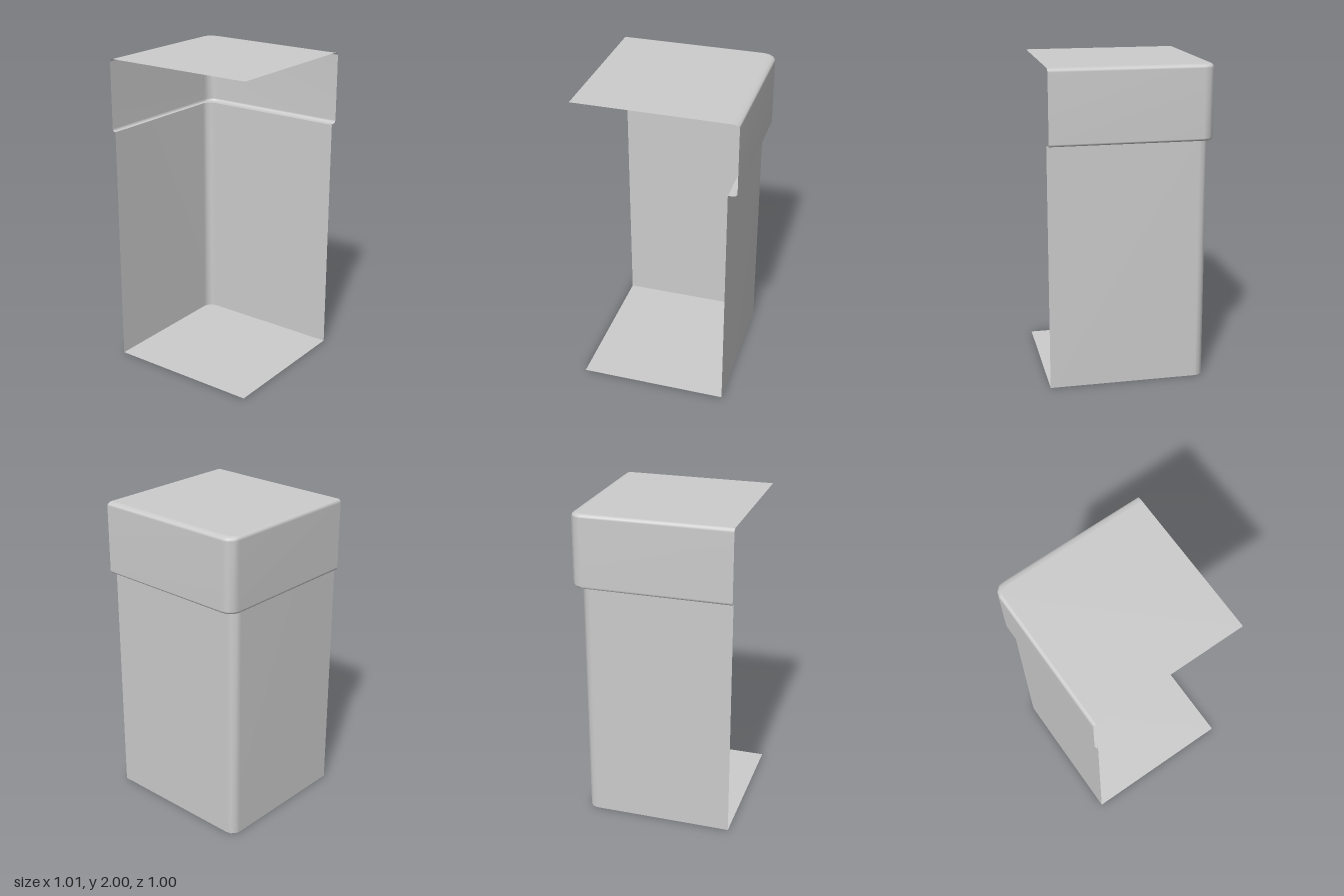
import * as THREE from 'three';

const material = new THREE.MeshStandardMaterial({ color: 0xcccccc, side: THREE.DoubleSide });
const FRONT = 0.5;

// L-shaped outline seen from above: left wall, rounded corner, back wall.
function outline({ left, right, back, rx, rz }) {
  const points = [new THREE.Vector2(left, FRONT)];
  for (let i = 0; i <= 3; i++) {
    const a = (i / 3) * Math.PI / 2;
    points.push(new THREE.Vector2(left + rx * (1 - Math.cos(a)), back + rz * (1 - Math.sin(a))));
  }
  points.push(new THREE.Vector2(right, back));
  return points;
}

// Smooth wall skinned through outlines stacked from bottom to top.
function wall(name, sections) {
  const positions = [], index = [];
  sections.forEach((s) => outline(s).forEach((p) => positions.push(p.x, s.y, p.y)));
  const n = outline(sections[0]).length;
  for (let row = 0; row < sections.length - 1; row++) {
    for (let i = 0; i < n - 1; i++) {
      const a = row * n + i, b = a + 1, c = a + n, d = c + 1;
      index.push(a, c, b, b, c, d);
    }
  }
  const geometry = new THREE.BufferGeometry();
  geometry.setAttribute('position', new THREE.Float32BufferAttribute(positions, 3));
  geometry.setIndex(index);
  geometry.computeVertexNormals();
  const mesh = new THREE.Mesh(geometry, material);
  mesh.name = name;
  return mesh;
}

// Flat panel filling an outline out to the open front corner.
function panel(name, section) {
  const points = outline(section).map((p) => new THREE.Vector2(p.x, -p.y));
  points.push(new THREE.Vector2(section.right, -FRONT));
  const geometry = new THREE.ShapeGeometry(new THREE.Shape(points));
  geometry.rotateX(-Math.PI / 2);
  const mesh = new THREE.Mesh(geometry, material);
  mesh.name = name;
  mesh.position.y = section.y;
  return mesh;
}

export function createModel() {
  const group = new THREE.Group();
  group.name = 'openCornerBox';

  // Lower body
  const body = (y) => ({ left: -0.485, right: 0.507, back: -0.445, rx: 0.06, rz: 0.06, y });
  group.add(panel('floor', body(0)), wall('bodyWall', [body(0), body(1.54)]));

  // Overhanging cap, with rounded lower lip and upper rim
  const cap = (dx, dz, y) => ({
    left: -0.507 + dx, right: 0.5, back: -0.5 + dz, rx: 0.072 - dx * 0.6, rz: 0.072 - dz * 0.6, y,
  });
  const lip = { ...body(1.54), right: 0.5 };
  const sections = [lip];
  const steps = 3;
  for (let i = 0; i <= steps; i++) {
    const a = (i / steps) * Math.PI / 2;
    const k = 1 - Math.sin(a);
    sections.push(cap(0.012 * k, 0.025 * k, 1.54 + 0.018 * (1 - Math.cos(a))));
  }
  for (let i = 0; i <= steps; i++) {
    const a = (i / steps) * Math.PI / 2;
    const k = 1 - Math.cos(a);
    sections.push(cap(0.02 * k, 0.04 * k, 1.978 + 0.022 * Math.sin(a)));
  }
  group.add(wall('capWall', sections), panel('capTop', sections[sections.length - 1]));
  return group;
}
